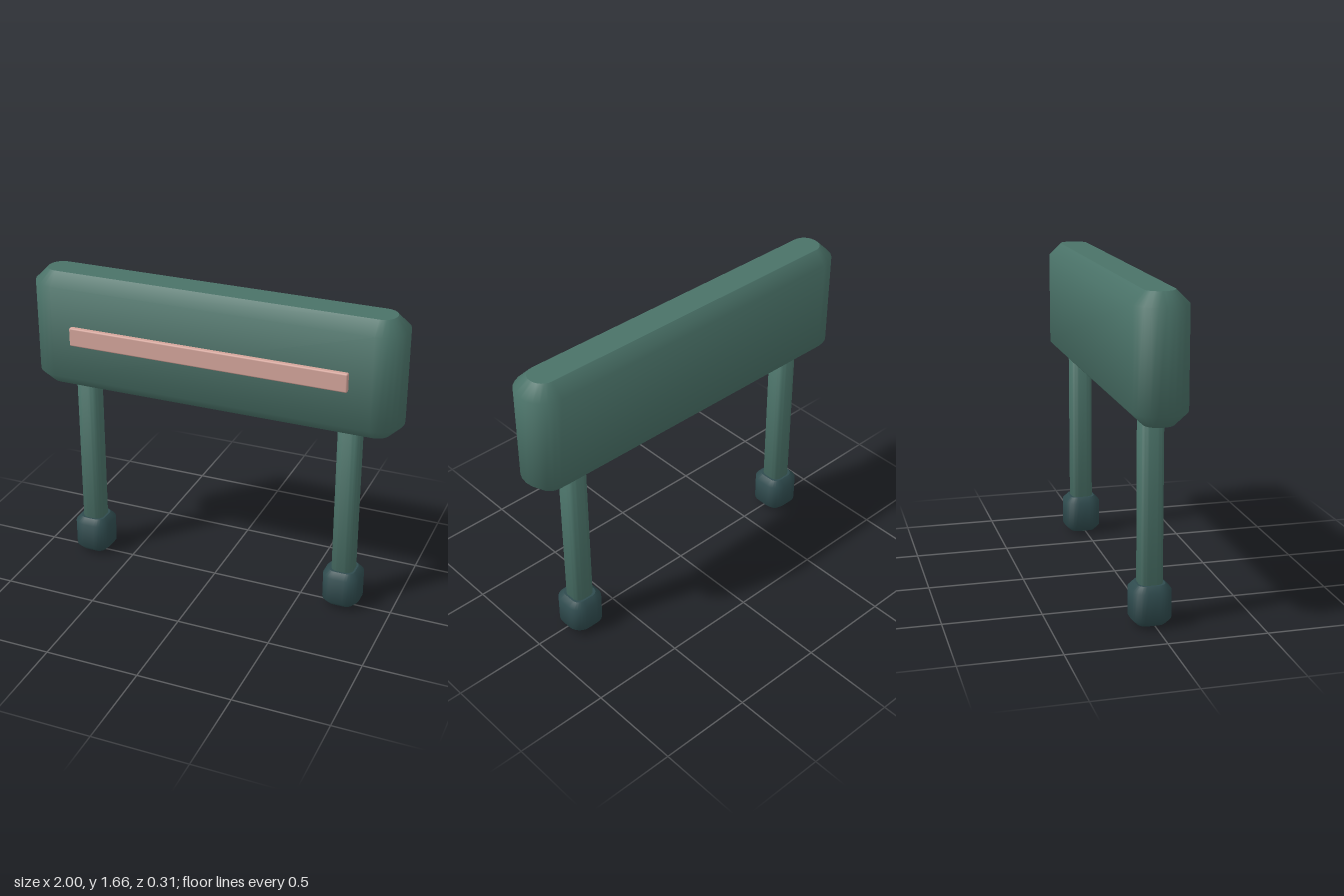
import * as THREE from 'three';
import { mergeGeometries, toCreasedNormals } from 'three/addons/utils/BufferGeometryUtils.js';
import { RoundedBoxGeometry } from 'three/addons/geometries/RoundedBoxGeometry.js';

const CENTER_Z = -0.015;

// Rounded-rectangle outline in the ground plane, anticlockwise from above
function outline(w, d, r, y, segs = 6) {
  const pts = [];
  const corners = [[1, 1], [-1, 1], [-1, -1], [1, -1]];
  corners.forEach(([sx, sy], c) => {
    for (let i = 0; i <= segs; i++) {
      const a = (c + i / segs) * Math.PI / 2;
      const x = sx * (w / 2 - r) + r * Math.cos(a);
      const z = -(sy * (d / 2 - r) + r * Math.sin(a));
      pts.push([x, y, z]);
    }
  });
  return pts;
}

function fromTriangles(points) {
  const g = new THREE.BufferGeometry();
  g.setAttribute('position', new THREE.Float32BufferAttribute(points.flat(), 3));
  return g;
}

// Upright rounded prism with a bevel b: smooth sides, crisp flat caps
function bevelledPrism(w, d, r, y0, y1, b) {
  const rings = [
    outline(w - 2 * b, d - 2 * b, r - b, y0),
    outline(w, d, r, y0 + b),
    outline(w, d, r, y1 - b),
    outline(w - 2 * b, d - 2 * b, r - b, y1),
  ];
  const n = rings[0].length;
  const sides = [], caps = [];
  for (let i = 0; i < n; i++) {
    const j = (i + 1) % n;
    for (let k = 0; k < 3; k++) {
      const lo = rings[k], hi = rings[k + 1];
      sides.push(lo[i], lo[j], hi[j], hi[j], hi[i], lo[i]);
    }
    caps.push([0, y1, 0], rings[3][i], rings[3][j]);
    caps.push([0, y0, 0], rings[0][j], rings[0][i]);
  }
  const capGeometry = fromTriangles(caps);
  capGeometry.computeVertexNormals();
  return mergeGeometries([toCreasedNormals(fromTriangles(sides), Math.PI / 3), capGeometry]);
}

export function createModel() {
  const green = new THREE.MeshStandardMaterial({ color: 0x4a7268 });
  green.name = 'muted green';
  const dark = new THREE.MeshStandardMaterial({ color: 0x2f4b4e });
  dark.name = 'dark teal';
  const pink = new THREE.MeshStandardMaterial({ color: 0xd4a59b });
  pink.name = 'dusty pink';

  const model = new THREE.Group();
  model.name = 'panelOnLegs';
  const add = (name, geometry, material, x, y, z) => {
    const mesh = new THREE.Mesh(geometry, material);
    mesh.name = name;
    mesh.position.set(x, y, z);
    model.add(mesh);
  };

  // Main panel and the bar on its front
  add('panel', bevelledPrism(2, 0.28, 0.135, 1.037, 1.665, 0.065), green, 0, 0, CENTER_Z);
  add('frontBar', new RoundedBoxGeometry(1.5, 0.1, 0.03, 2, 0.008), pink, 0, 1.35, 0.14);

  // Legs, each with a chunky foot around its lower end
  const leg = bevelledPrism(0.12, 0.12, 0.04, 0.003, 1.1, 0.015);
  const foot = bevelledPrism(0.2, 0.2, 0.07, 0.013, 0.217, 0.03);
  for (const [side, s] of [['left', 1], ['right', -1]]) {
    add(side + 'Leg', leg, green, s * 0.73, 0, CENTER_Z);
    add(side + 'Foot', foot, dark, s * 0.73, 0, CENTER_Z);
  }
  return model;
}
